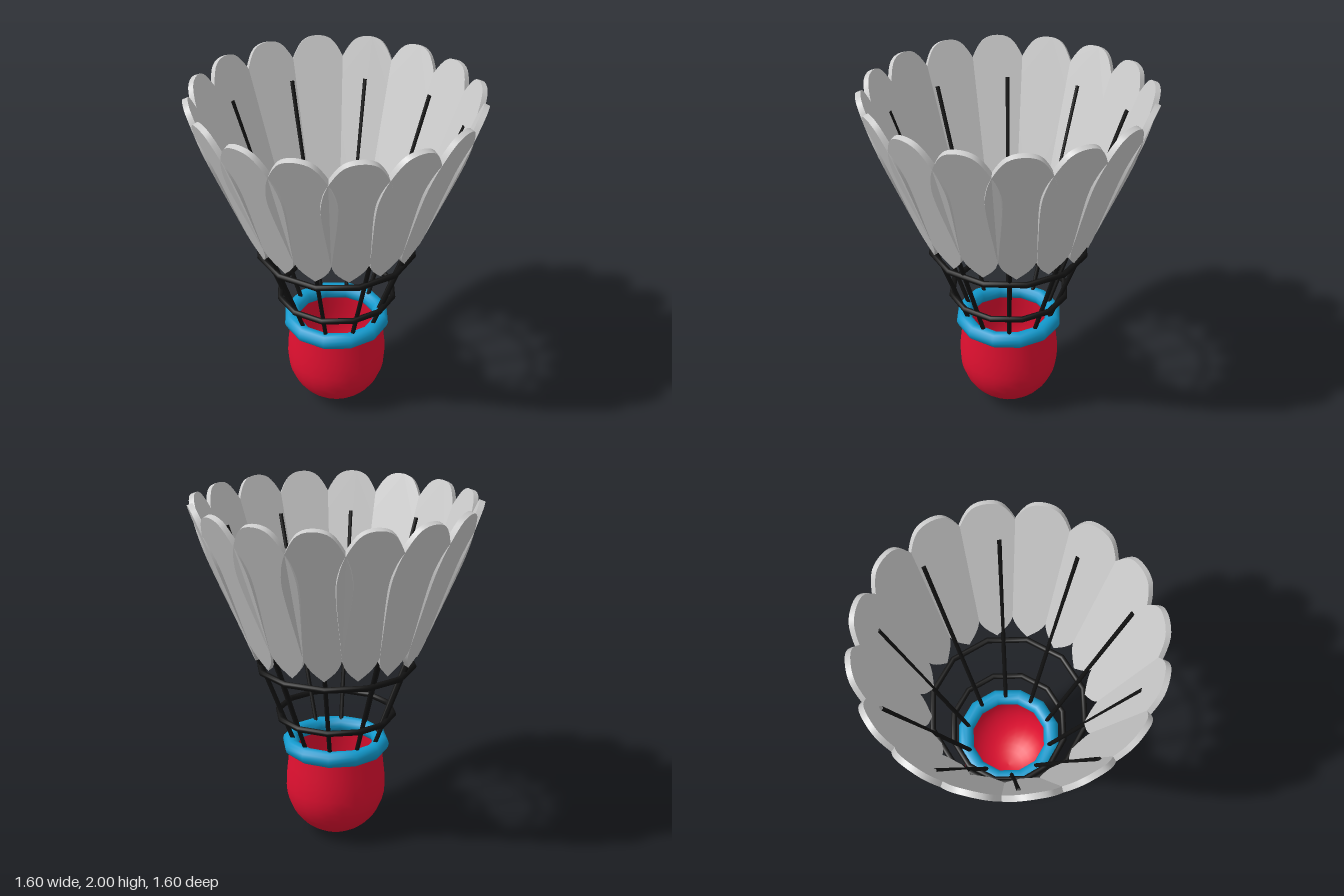
import * as THREE from 'three';
import { toCreasedNormals } from 'three/addons/utils/BufferGeometryUtils.js';

const red = new THREE.MeshStandardMaterial({ color: 0xe01030, side: THREE.DoubleSide });
const blue = new THREE.MeshStandardMaterial({ color: 0x1199cc });
const black = new THREE.MeshStandardMaterial({ color: 0x111111 });
const grey = new THREE.MeshStandardMaterial({ color: 0xcccccc });

const FEATHERS = 16, STEMS = 10;

function addMesh(parent, name, geometry, material) {
  const mesh = new THREE.Mesh(geometry, material);
  mesh.name = name;
  parent.add(mesh);
  return mesh;
}

// Horizontal ring of round section at height y
function addRing(parent, name, radius, tube, y, material) {
  const ring = addMesh(parent, name, new THREE.TorusGeometry(radius, tube, 12, 12), material);
  ring.rotation.x = Math.PI / 2;
  ring.position.y = y;
}

// Leaf-shaped flat plate: pointed at the bottom, rounded at the top
function featherGeometry() {
  const half = [[0.088, 0.11], [0.13, 0.31], [0.174, 0.58], [0.175, 0.71], [0.148, 0.82], [0.085, 0.925]];
  const right = half.map(([x, y]) => new THREE.Vector2(x, y));
  const left = half.map(([x, y]) => new THREE.Vector2(-x, y)).reverse();
  const shape = new THREE.Shape();
  shape.moveTo(0, 0);
  shape.splineThru([...right, new THREE.Vector2(0, 0.953), ...left, new THREE.Vector2(0, 0)]);
  const plate = new THREE.ExtrudeGeometry(shape, { depth: 0.031, bevelEnabled: false, curveSegments: 4 });
  return toCreasedNormals(plate, 0.6);
}

export function createModel() {
  const model = new THREE.Group();
  model.name = 'shuttlecock';

  // Round nose, hollow and open at the top
  const profile = [];
  for (let i = 0; i <= 10; i++) {
    const a = (i / 10) * Math.PI / 2;
    profile.push(new THREE.Vector2(0.29 * Math.sin(a), 0.3 - 0.3 * Math.cos(a)));
  }
  profile.push(new THREE.Vector2(0.288, 0.37), new THREE.Vector2(0.28, 0.44), new THREE.Vector2(0.268, 0.56));
  addMesh(model, 'nose', new THREE.LatheGeometry(profile, 24), red);

  // Collar and the two binding rings
  addRing(model, 'collar', 0.265, 0.046, 0.56, blue);
  addRing(model, 'lowerRing', 0.333, 0.017, 0.747, black);
  addRing(model, 'upperRing', 0.442, 0.017, 1.045, black);

  // Stems lean outward from the collar into the feathers
  const stems = new THREE.Group();
  stems.name = 'stems';
  const low = new THREE.Vector2(0.233, 0.55), high = new THREE.Vector2(0.688, 1.77);
  const lean = Math.atan2(high.x - low.x, high.y - low.y);
  const stemGeometry = new THREE.CylinderGeometry(0.0125, 0.0125, low.distanceTo(high), 8);
  for (let i = 0; i < STEMS; i++) {
    const pivot = new THREE.Group();
    pivot.rotation.y = (i / STEMS) * Math.PI * 2;
    const stem = addMesh(pivot, 'stem', stemGeometry, black);
    stem.position.set(0, (low.y + high.y) / 2, (low.x + high.x) / 2);
    stem.rotation.x = lean;
    stems.add(pivot);
  }
  model.add(stems);

  // Overlapping feathers form the skirt
  const skirt = new THREE.Group();
  skirt.name = 'skirt';
  const plate = featherGeometry();
  for (let i = 0; i < FEATHERS; i++) {
    const pivot = new THREE.Group();
    pivot.rotation.y = (i / FEATHERS) * Math.PI * 2;
    const feather = addMesh(pivot, 'feather', plate, grey);
    feather.position.set(0, 1.11, 0.432);
    feather.rotation.x = 0.365;
    skirt.add(pivot);
  }
  model.add(skirt);

  return model;
}
